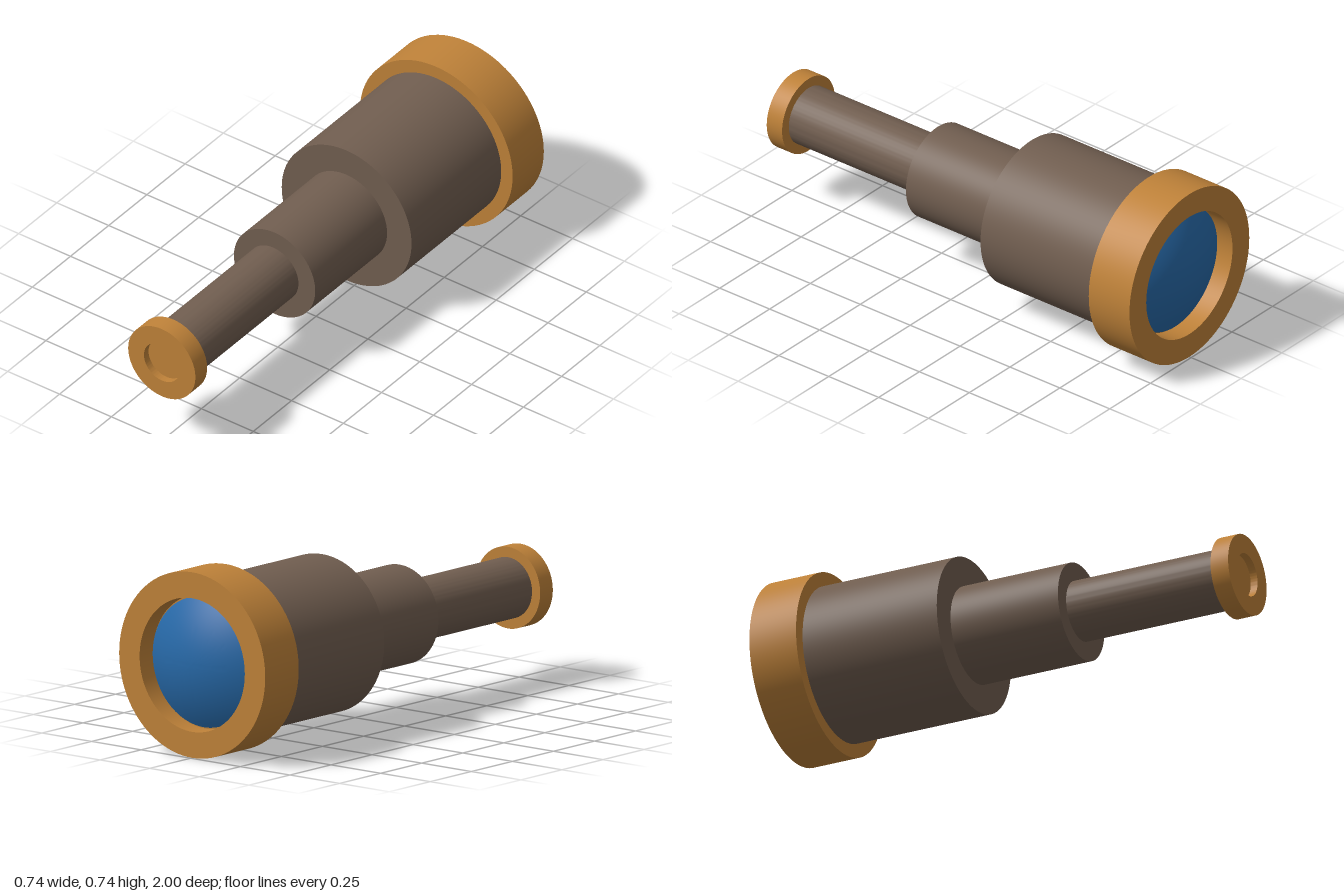
import * as THREE from 'three';
import { toCreasedNormals } from 'three/addons/utils/BufferGeometryUtils.js';

const CENTRE_Y = 0.368;

// Turns a closed [radius, z] profile, listed from back to front, around the z axis
function turned(name, profile, material, x = 0) {
  const points = profile.map(([r, z]) => new THREE.Vector2(r, z));
  const lathe = new THREE.LatheGeometry(points, 96).rotateX(Math.PI / 2);
  const mesh = new THREE.Mesh(toCreasedNormals(lathe, 0.6), material);
  mesh.name = name;
  mesh.position.set(x, CENTRE_Y, 0);
  return mesh;
}

const tube = (r, back, front) => [[0, back], [r, back], [r, front], [0, front]];

export function createModel() {
  const brass = new THREE.MeshStandardMaterial({ color: 0xbf8239 });
  brass.name = 'brass';
  const leather = new THREE.MeshStandardMaterial({ color: 0x715e50 });
  leather.name = 'brown leather';
  const glass = new THREE.MeshStandardMaterial({ color: 0x2769a8 });
  glass.name = 'blue glass';

  const model = new THREE.Group();
  model.name = 'spyglass';

  // Three telescoping tubes, the thinnest slightly off centre
  model.add(turned('largeTube', tube(0.313, -0.82, -0.2), leather));
  model.add(turned('middleTube', tube(0.196, -0.24, 0.27), leather, -0.001));
  model.add(turned('smallTube', tube(0.121, 0.23, 0.94), leather, -0.007));

  // Wide rim with a recess that holds the lens
  model.add(turned('lensRim', [
    [0, -0.91], [0.265, -0.91], [0.265, -0.991], [0.368, -0.991],
    [0.368, -0.787], [0, -0.787],
  ], brass));

  // Shallow domed lens, its tip just past the rim
  const dome = [];
  for (let i = 0; i <= 16; i++) {
    const r = 0.258 * i / 16;
    dome.push([r, -1 + 0.08 * (r / 0.258) ** 2]);
  }
  dome.push([0.258, -0.9]);
  model.add(turned('lens', dome, glass));

  // Eyepiece with a shallow round recess
  model.add(turned('eyepiece', [
    [0, 0.923], [0.162, 0.923], [0.162, 1], [0.086, 1], [0.086, 0.97], [0, 0.97],
  ], brass, -0.007));

  return model;
}
